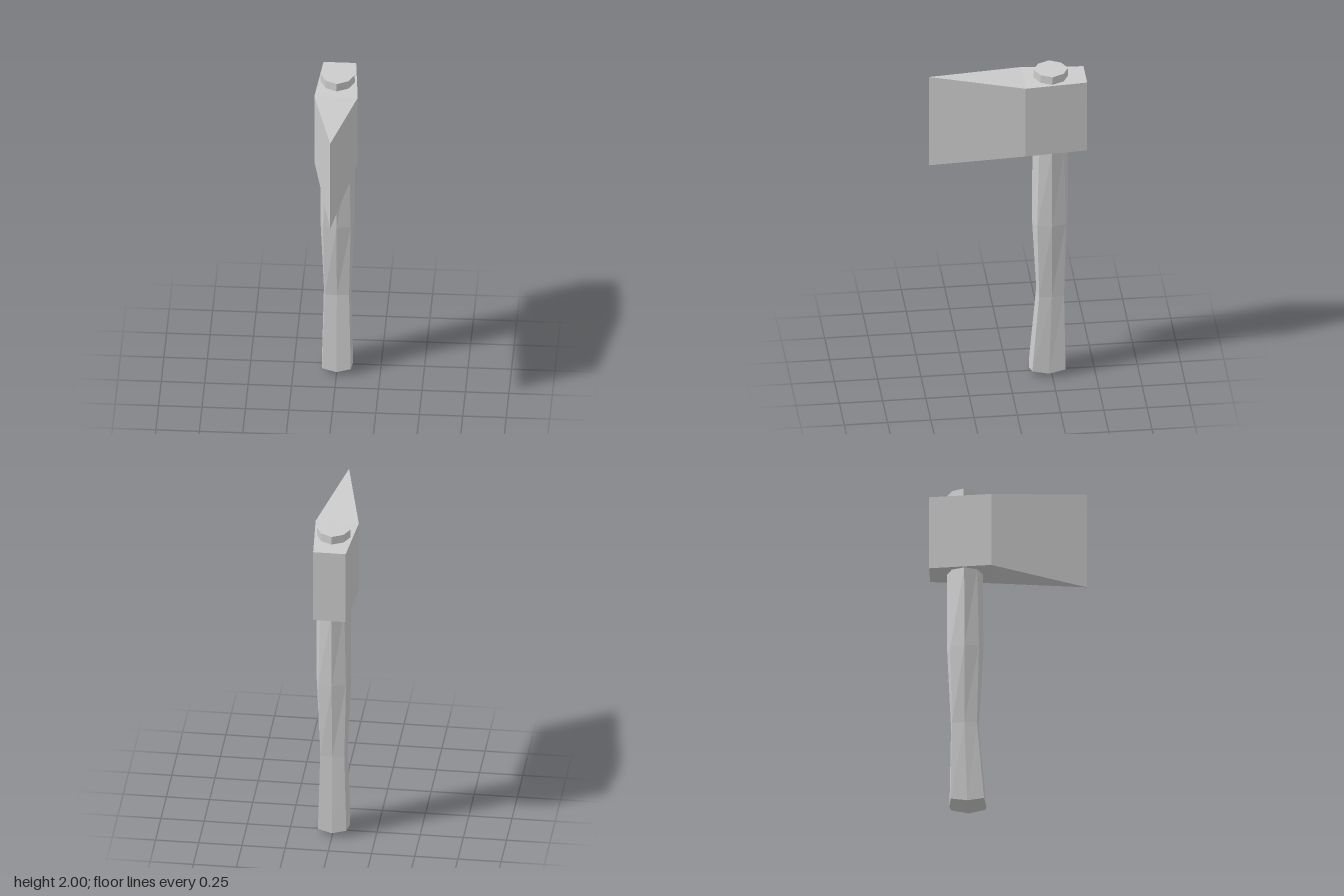
import * as THREE from 'three';

const material = new THREE.MeshStandardMaterial({ color: 0xcccccc, flatShading: true });

function finish(geometry, name) {
  const flat = geometry.index ? geometry.toNonIndexed() : geometry;
  flat.computeVertexNormals();
  const mesh = new THREE.Mesh(flat, material);
  mesh.name = name;
  return mesh;
}

// Wedge: a box whose three cross-sections run from the square poll to the sharp edge
function createHead() {
  const sections = [
    { z: -0.45, halfWidth: 0.094, bottom: 1.5, top: 1.95 },
    { z: -0.09, halfWidth: 0.125, bottom: 1.5, top: 1.95 },
    { z: 0.455, halfWidth: 0, bottom: 1.405, top: 1.992 },
  ];
  const geometry = new THREE.BoxGeometry(2, 2, 2, 1, 1, 2);
  const p = geometry.attributes.position;
  for (let i = 0; i < p.count; i++) {
    const s = sections[Math.round(p.getZ(i)) + 1];
    p.setXYZ(i, p.getX(i) * s.halfWidth, p.getY(i) > 0 ? s.top : s.bottom, s.z);
  }
  return finish(geometry, 'axeHead');
}

// Eight-sided shaft: each ring has four points on the axes and four corners
function createHandle() {
  const rings = [
    // y, cornerY, centre z, axis x, axis z, corner x, corner z
    [0.005, 0.005, -0.245, 0, 0, 0, 0],
    [0.028, 0.045, -0.23, 0.09, 0.106, 0.082, 0.096],
    [0.53, 0.53, -0.247, 0.079, 0.08, 0.07, 0.072],
    [1.01, 1.01, -0.245, 0.1, 0.104, 0.08, 0.082],
    [1.5, 1.5, -0.247, 0.099, 0.103, 0.07, 0.073],
    [2, 2, -0.25, 0.098, 0.1, 0.065, 0.067],
    [2, 2, -0.25, 0, 0, 0, 0],
  ];
  const positions = [];
  const indices = [];
  rings.forEach(([y, cornerY, cz, ax, az, cx, cornerZ], r) => {
    for (let i = 0; i < 8; i++) {
      const angle = (i * Math.PI) / 4;
      const corner = i % 2 === 1;
      const sx = Math.sign(Math.round(Math.sin(angle) * 10));
      const sz = Math.sign(Math.round(Math.cos(angle) * 10));
      positions.push(sx * (corner ? cx : ax), corner ? cornerY : y, cz + sz * (corner ? cornerZ : az));
      if (r === rings.length - 1) continue;
      const a = r * 8 + i;
      const b = r * 8 + ((i + 1) % 8);
      if (r > 0) indices.push(a, b, b + 8);
      if (r < rings.length - 2) indices.push(a, b + 8, a + 8);
    }
  });
  // Close the flat top: the last ring is a single centre point
  const geometry = new THREE.BufferGeometry();
  geometry.setAttribute('position', new THREE.Float32BufferAttribute(positions, 3));
  geometry.setIndex(indices);
  return finish(geometry, 'handle');
}

export function createModel() {
  const group = new THREE.Group();
  group.name = 'axe';
  group.add(createHandle(), createHead());
  return group;
}
